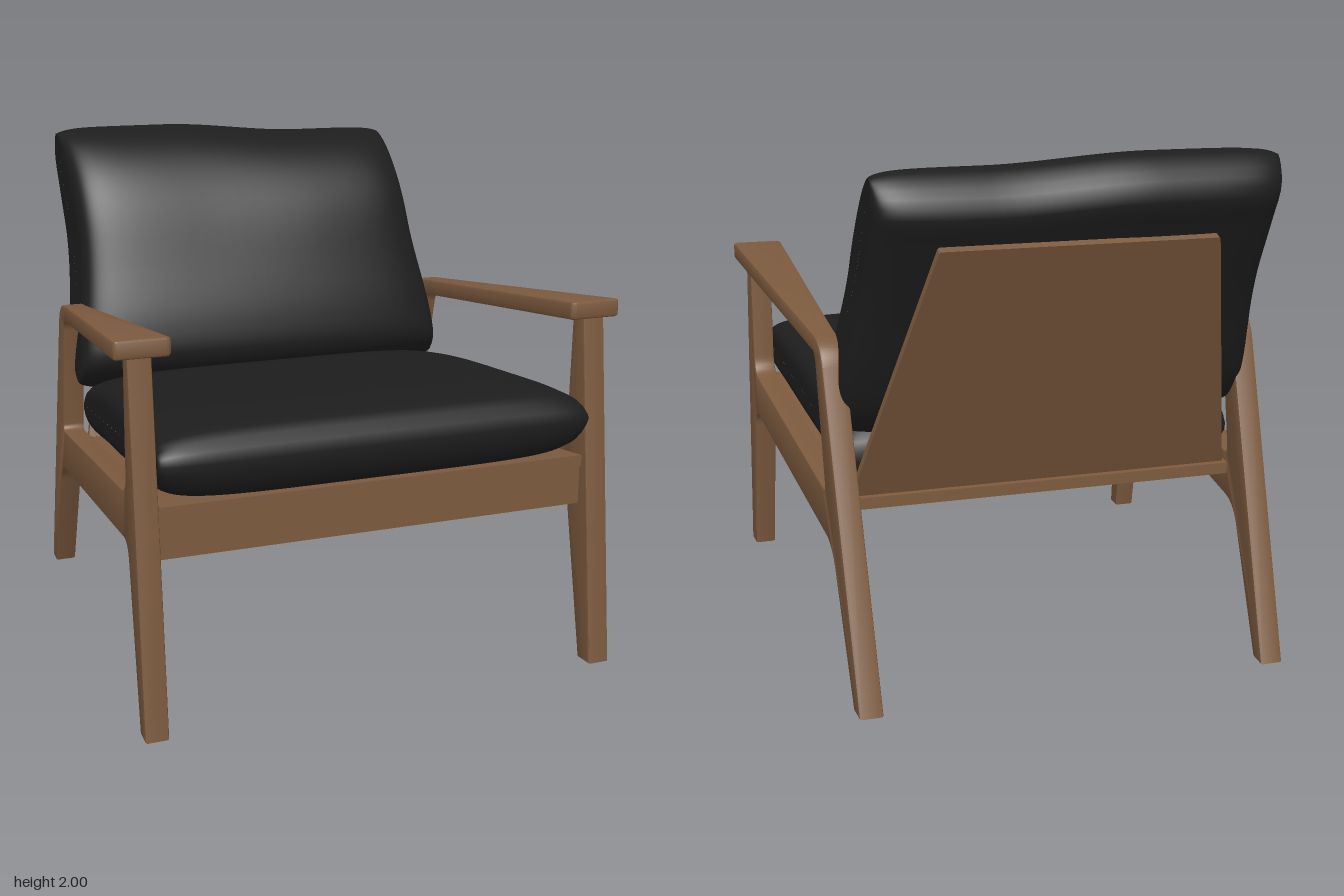
import * as THREE from 'three';
import { toCreasedNormals } from 'three/addons/utils/BufferGeometryUtils.js';

const wood = new THREE.MeshStandardMaterial({ color: 0x7c5a3e });
wood.name = 'walnut wood';
const fabric = new THREE.MeshStandardMaterial({ color: 0x1d1d1d });
fabric.name = 'black upholstery';

// The side frames splay outwards towards the front
const frameX = (z) => 0.91 + (z - 1) * 0.058;
const innerX = (z) => frameX(z) - 0.045;

const smooth = (a, b, v) => THREE.MathUtils.smoothstep(v, a, b);

function part(name, geometry, material) {
  const mesh = new THREE.Mesh(geometry, material);
  mesh.name = name;
  return mesh;
}

// Move every vertex by a rule
function warp(geometry, rule) {
  const p = geometry.attributes.position;
  const v = new THREE.Vector3();
  for (let i = 0; i < p.count; i++) {
    v.fromBufferAttribute(p, i);
    rule(v);
    p.setXYZ(i, v.x, v.y, v.z);
  }
  geometry.computeVertexNormals();
  return geometry;
}

// Trace a polygon of [x, y, cornerRadius] with rounded corners
function trace(path, corners) {
  const n = corners.length;
  corners.forEach(([x, y, r = 0], i) => {
    const c = new THREE.Vector2(x, y);
    const toward = (j) => {
      const d = new THREE.Vector2(corners[j][0], corners[j][1]).sub(c).normalize();
      return c.clone().addScaledVector(d, r);
    };
    const a = toward((i + n - 1) % n);
    const b = toward((i + 1) % n);
    if (i === 0) path.moveTo(a.x, a.y);
    else path.lineTo(a.x, a.y);
    if (r > 0) path.quadraticCurveTo(c.x, c.y, b.x, b.y);
  });
  path.closePath();
  return path;
}

function slab(shape, depth, bevel) {
  return new THREE.ExtrudeGeometry(shape, {
    depth: depth - 2 * bevel, bevelEnabled: bevel > 0, bevelSize: bevel,
    bevelThickness: bevel, bevelOffset: -bevel, bevelSegments: 2, curveSegments: 10,
  });
}

// Legs and rail in one profile, (z, y)
function sideFrame(side) {
  const shape = trace(new THREE.Shape(), [
    [1, 0], [0.85, 1.433], [-0.513, 1.298, 0.09], [-0.967, 0],
    [-0.885, 0], [-0.615, 0.545, 0.09], [0.785, 0.685, 0.07], [0.92, 0],
  ]);
  shape.holes.push(trace(new THREE.Path(), [
    [0.785, 1.376], [0.775, 0.866, 0.08], [-0.535, 0.73, 0.04], [-0.425, 1.242, 0.05],
  ]));
  const g = slab(shape, 0.09, 0.008);
  g.translate(0, 0, -0.037);
  g.rotateY(-Math.PI / 2);
  warp(g, (v) => { v.x += side * frameX(v.z); });
  return part('sideFrame', toCreasedNormals(g, 0.6), wood);
}

// Flat armrest, broad at the front and sloping to the rear leg
function armrest(side) {
  const shape = trace(new THREE.Shape(), [
    [side * 0.79, -0.88, 0.02], [side * 1.0, -0.88, 0.02],
    [side * 0.872, 0.42], [side * 0.784, 0.42],
  ]);
  const g = slab(shape, 0.07, 0.012);
  g.translate(0, 0, 0.012);
  g.rotateX(-Math.PI / 2);
  warp(g, (v) => { v.y += 1.2825 + 0.106 * v.z; });
  return part('armrest', toCreasedNormals(g, 0.6), wood);
}

// Board spanning between the side frames, sloping with the seat
function crossBoard(name, top, height, front, back) {
  const g = new THREE.BoxGeometry(2, height, front - back);
  g.translate(0, top - height / 2, (front + back) / 2);
  warp(g, (v) => {
    v.x *= innerX(v.z) + 0.004;
    v.y += (v.z - front) * 0.1;
  });
  return part(name, g, wood);
}

// Soft cushion: a closed (z, y) profile lofted along x. Towards the ends it thins
// across its long axis, closing in a seam and keeping its length
function cushion(name, points, axis, roundness, rule) {
  const curve = new THREE.CatmullRomCurve3(
    points.map(([z, y]) => new THREE.Vector3(0, y, z)), true, 'centripetal');
  const around = 72;
  const along = 56;
  const loop = curve.getSpacedPoints(around).slice(0, around);
  const centre = loop.reduce((s, p) => s.add(p), new THREE.Vector3()).divideScalar(around);
  const long = new THREE.Vector3(0, axis[1], axis[0]).normalize();
  const positions = [];
  const index = [];
  const v = new THREE.Vector3();
  for (let i = 0; i <= along; i++) {
    // stations bunch up towards the ends
    const t = (2 * i) / along - 1;
    const u = Math.sign(t) * (1 - Math.pow(1 - Math.abs(t), 2.6));
    const thin = Math.pow(Math.max(0, 1 - Math.pow(Math.abs(u), roundness)), 1 / roundness);
    const shorten = 1 - 0.035 * Math.pow(Math.abs(u), 14);
    for (const p of loop) {
      v.copy(p).sub(centre);
      const reach = v.dot(long);
      v.addScaledVector(long, -reach).multiplyScalar(Math.max(thin, 0.001));
      v.addScaledVector(long, reach * shorten).add(centre);
      v.x = u;
      rule(v);
      positions.push(v.x, v.y, v.z);
    }
  }
  for (let i = 0; i < along; i++) {
    for (let j = 0; j < around; j++) {
      const a = i * around + j;
      const b = i * around + ((j + 1) % around);
      index.push(a, a + around, b, b, a + around, b + around);
    }
  }
  const g = new THREE.BufferGeometry();
  g.setAttribute('position', new THREE.Float32BufferAttribute(positions, 3));
  g.setIndex(index);
  g.computeVertexNormals();
  return part(name, g, fabric);
}

export function createModel() {
  const chair = new THREE.Group();
  chair.name = 'loungeChair';

  for (const side of [1, -1]) {
    const group = new THREE.Group();
    group.name = side > 0 ? 'leftSide' : 'rightSide';
    group.add(sideFrame(side), armrest(side));
    chair.add(group);
  }

  // Seat deck and the apron beneath its front edge
  chair.add(crossBoard('seatDeck', 0.835, 0.045, 0.885, -0.54));
  chair.add(crossBoard('frontRail', 0.786, 0.15, 0.875, 0.8));

  // Tapered, reclined back panel
  const board = slab(trace(new THREE.Shape(), [
    [-0.765, 0], [0.765, 0], [0.52, 1.1, 0.01], [-0.52, 1.1, 0.01],
  ]), 0.03, 0);
  board.rotateX(-0.412);
  board.translate(0, 0.688, -0.514);
  chair.add(part('backPanel', board, wood));

  // Profiles run from the bottom round the front, over the top and down the back
  chair.add(cushion('seatCushion', [
    [0, 0.755], [0.6, 0.812], [0.87, 0.845], [0.93, 0.92], [0.94, 1.02], [0.89, 1.085],
    [0.75, 1.107], [0.4, 1.1], [0, 1.075], [-0.3, 1.02], [-0.48, 0.95], [-0.52, 0.85], [-0.49, 0.735],
  ], [1, 0.1], 5, (v) => {
    v.x *= innerX(v.z) + 0.002;
  }));

  chair.add(cushion('backCushion', [
    [-0.42, 0.93], [-0.3, 1.0], [-0.235, 1.08], [-0.25, 1.21], [-0.34, 1.45], [-0.475, 1.74],
    [-0.61, 1.9], [-0.74, 1.98], [-0.87, 2.0], [-0.95, 1.94], [-0.99, 1.85], [-0.94, 1.73],
    [-0.785, 1.4], [-0.615, 1.02], [-0.52, 0.94],
  ], [-0.47, 0.88], 6, (v) => {
    const rise = smooth(1.2, 1.95, v.y);
    const dip = smooth(-0.35, 0.45, v.x) * rise;
    v.x *= 0.82 - 0.055 * smooth(1.0, 1.6, v.y) - 0.01 * rise;
    v.x -= 0.018 * rise;
    v.y -= 0.038 * dip;
    v.z += 0.045 * dip - 0.06 * v.x * v.x * smooth(-0.6, -0.24, v.z);
  }));

  return chair;
}
